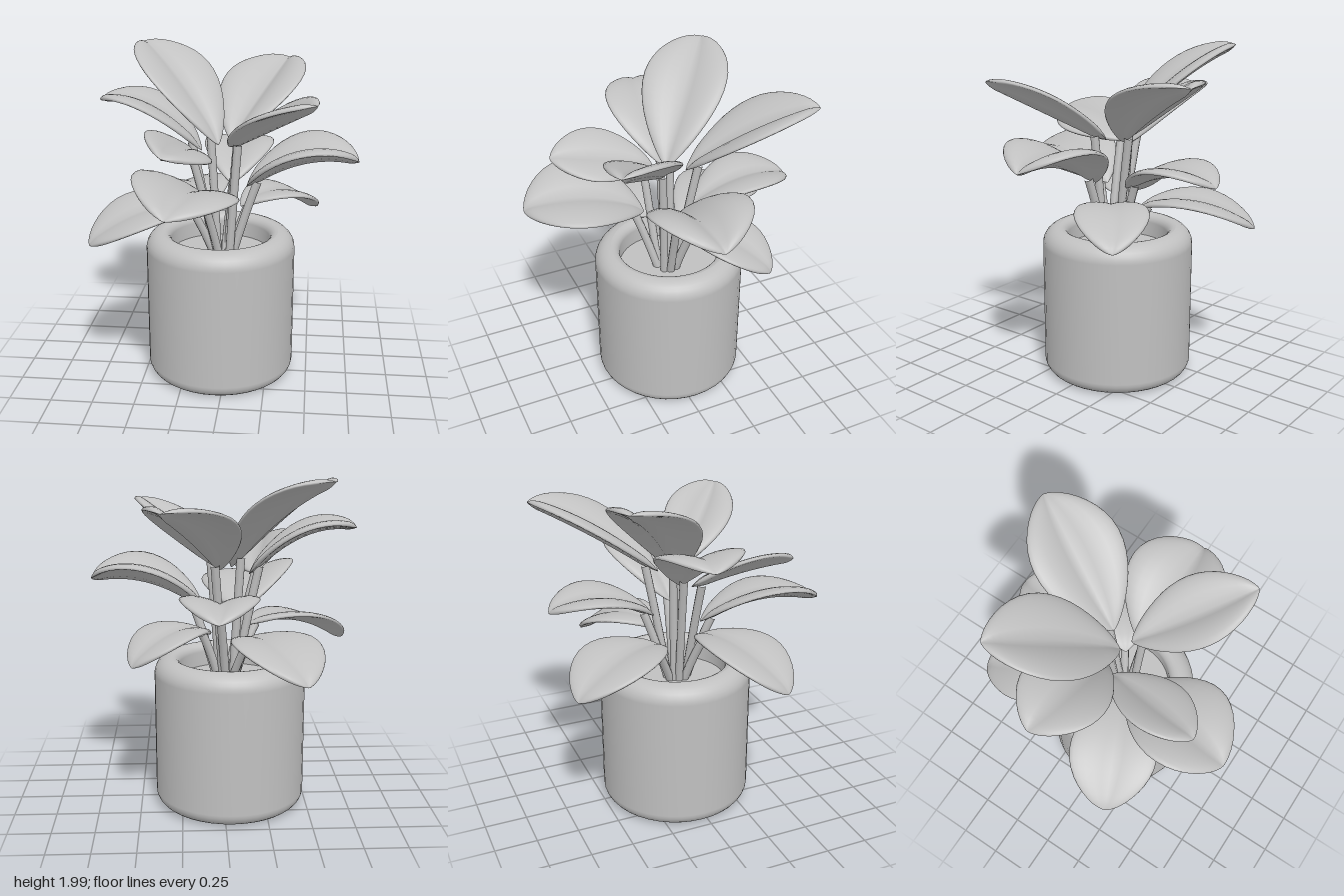
import * as THREE from 'three';

const V = (x, y, z) => new THREE.Vector3(x, y, z);

// base, tip, rise of the midrib above its chord, half width, fold of the halves, roll about the midrib
const LEAVES = [
  { base: [0.02, 1.45, -0.12], tip: [0.34, 1.85, -0.78], rise: 0.02, width: 0.26, fold: 0.42, roll: 0 },
  { base: [-0.05, 1.45, -0.03], tip: [-0.57, 1.98, -0.5], rise: 0.06, width: 0.25, fold: 0.28, roll: 0 },
  { base: [0.02, 1.45, 0.0], tip: [0.52, 1.8, 0.47], rise: 0.0, width: 0.2, fold: 0.42, roll: -0.15 },
  { base: [-0.19, 1.41, 0.0], tip: [-0.29, 1.53, 0.59], rise: 0.02, width: 0.2, fold: 0.2, roll: 0.4 },
  { base: [-0.11, 1.15, 0.09], tip: [-0.25, 1.25, 0.78], rise: 0.08, width: 0.3, fold: 0.24, roll: 0.2 },
  { base: [-0.15, 1.41, -0.05], tip: [-0.76, 1.69, -0.12], rise: 0.1, width: 0.24, fold: 0.2, roll: 0 },
  { base: [0.12, 1.21, 0.0], tip: [0.77, 1.38, 0.01], rise: 0.08, width: 0.29, fold: 0.4, roll: 0 },
  { base: [-0.14, 1.08, 0.05], tip: [-0.76, 0.93, 0.33], rise: 0.09, width: 0.25, fold: 0.15, roll: 0.1 },
  { base: [0.08, 1.06, -0.08], tip: [0.52, 0.96, -0.43], rise: 0.09, width: 0.21, fold: 0.15, roll: 0 },
  { base: [-0.11, 1.03, -0.14], tip: [-0.42, 0.94, -0.76], rise: 0.09, width: 0.25, fold: 0.15, roll: 0 },
  { base: [0.02, 1.18, -0.15], tip: [0.05, 1.28, -0.77], rise: 0.08, width: 0.22, fold: 0.25, roll: 0 },
];

// Arched midrib from leaf base to tip
function midrib({ base, tip, rise }) {
  const a = V(...base), b = V(...tip);
  return new THREE.QuadraticBezierCurve3(a, a.clone().lerp(b, 0.5).add(V(0, rise * 2, 0)), b);
}

// Closed, cushioned leaf blade swept along the midrib
function leafGeometry(spec) {
  const { width, fold, roll } = spec, rib = midrib(spec);
  const rows = 22, cols = 28, pos = [], index = [];
  for (let i = 0; i <= rows; i++) {
    const t = (1 - Math.cos(Math.PI * i / rows)) / 2;
    const p = rib.getPoint(t), along = rib.getTangent(t);
    const side = along.clone().cross(V(0, 1, 0)).normalize().applyAxisAngle(along, -roll);
    const up = side.clone().cross(along).normalize();
    const shape = Math.pow(Math.max(Math.sin(Math.PI * Math.pow(t, 1.18)), 0), 0.65);
    const w = Math.max(width * shape, 0.001);
    const thick = 0.019 * Math.min(1, shape * 2.5);
    for (let j = 0; j < cols; j++) {
      const ang = 2 * Math.PI * j / cols;
      const u = Math.cos(ang), s = Math.sin(ang), m = Math.abs(u);
      // halves lift from the midrib crease, then curl over at the margin
      const lift = w * fold * (2.1 * m - 1.25 * m * m);
      const skin = thick * Math.sign(s) * Math.pow(Math.abs(s), 0.6);
      const q = p.clone().addScaledVector(side, u * w).addScaledVector(up, lift + skin);
      pos.push(q.x, q.y, q.z);
    }
  }
  for (let i = 0; i < rows; i++) for (let j = 0; j < cols; j++) {
    const k = (j + 1) % cols, p = i * cols, q = p + cols;
    index.push(p + j, q + j, p + k, p + k, q + j, q + k);
  }
  const g = new THREE.BufferGeometry();
  g.setAttribute('position', new THREE.Float32BufferAttribute(pos, 3));
  g.setIndex(index);
  g.computeVertexNormals();
  return g;
}

// Stem rising from the soil and leaning out into the underside of the leaf
function stemGeometry(spec) {
  const end = midrib(spec).getPoint(0.1).add(V(0, -0.012, 0));
  const dir = V(spec.tip[0], 0, spec.tip[2]).normalize();
  const root = V(-0.02 + dir.x * 0.05, 0.75, -0.02 + dir.z * 0.05);
  const bend = root.clone().lerp(end, 0.55).add(V(0, 0.04, 0));
  return new THREE.TubeGeometry(new THREE.QuadraticBezierCurve3(root, bend, end), 14, 0.025, 8);
}

// Rounded pot wall profile, from the underside centre round to the inside
function potGeometry() {
  const pts = [new THREE.Vector2(0, 0.01)];
  const arc = (cx, cy, r, from, to, n) => {
    for (let i = 0; i <= n; i++) {
      const t = from + (to - from) * i / n;
      pts.push(new THREE.Vector2(cx + r * Math.cos(t), cy + r * Math.sin(t)));
    }
  };
  arc(0.37, 0.085, 0.08, -Math.PI / 2, 0, 6);
  arc(0.35, 0.82, 0.1, 0, Math.PI / 2, 7);
  arc(0.35, 0.87, 0.05, Math.PI / 2, Math.PI, 5);
  pts.push(new THREE.Vector2(0.3, 0.74));
  return new THREE.LatheGeometry(pts, 40);
}

export function createModel() {
  const model = new THREE.Group();
  model.name = 'pottedPlant';
  const grey = new THREE.MeshStandardMaterial({ color: 0xc0c0c0 });
  grey.name = 'plainGrey';
  const add = (name, geometry, parent = model) => {
    const mesh = new THREE.Mesh(geometry, grey);
    mesh.name = name;
    parent.add(mesh);
    return mesh;
  };

  // Pot and soil
  add('pot', potGeometry()).position.set(-0.04, 0, -0.04);
  add('soil', new THREE.CylinderGeometry(0.305, 0.305, 0.04, 40)).position.set(-0.04, 0.76, -0.04);

  // Leaves, each with its stem
  for (const spec of LEAVES) {
    const leaf = new THREE.Group();
    leaf.name = 'leaf';
    add('stem', stemGeometry(spec), leaf);
    add('blade', leafGeometry(spec), leaf);
    model.add(leaf);
  }
  return model;
}
